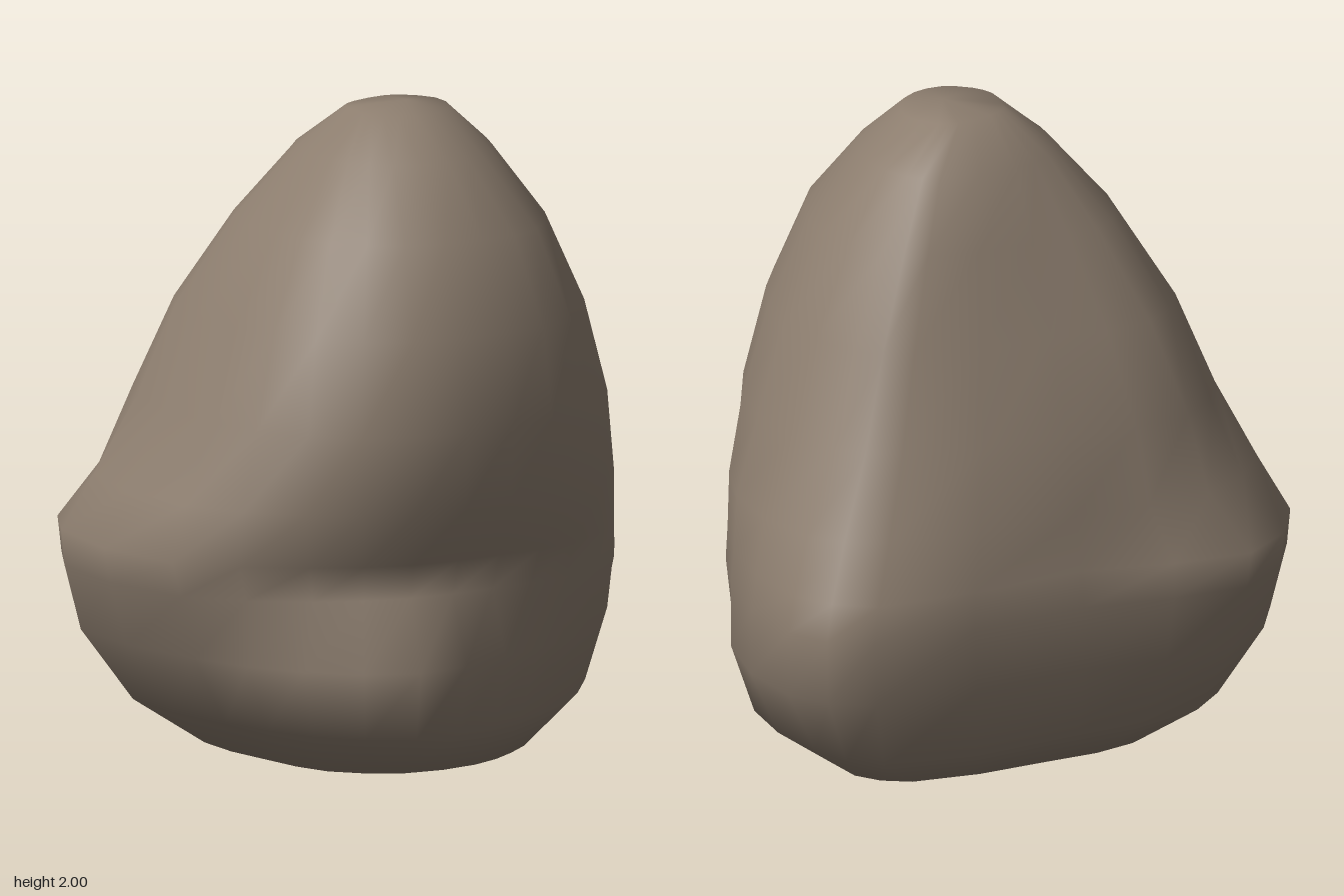
import * as THREE from 'three';

// Directions of the section points around the y axis, in degrees from +x towards +z
const ANGLES = [0, 26, 50, 78, 118, 145, 180, 225, 241, 270, 305, 335];

// Horizontal sections: height, then one radius for each direction
const SECTIONS = [
  [0.02, [0.53, 0.58, 0.56, 0.48, 0.52, 0.54, 0.48, 0.65, 0.67, 0.55, 0.48, 0.48]],
  [0.16, [0.64, 0.78, 0.74, 0.67, 0.74, 0.76, 0.66, 0.94, 0.89, 0.76, 0.62, 0.59]],
  [0.38, [0.69, 0.86, 0.85, 0.81, 0.90, 0.88, 0.71, 1.02, 1.04, 0.84, 0.69, 0.66]],
  [0.58, [0.62, 0.68, 0.75, 0.87, 0.95, 0.93, 0.71, 1.04, 1.04, 0.84, 0.73, 0.67]],
  [0.69, [0.66, 0.72, 0.78, 0.91, 0.96, 0.945, 0.69, 1.00, 1.01, 0.83, 0.73, 0.70]],
  [0.86, [0.72, 0.78, 0.83, 0.85, 0.86, 0.80, 0.66, 0.89, 0.94, 0.82, 0.73, 0.74]],
  [1.10, [0.73, 0.79, 0.81, 0.73, 0.73, 0.73, 0.61, 0.75, 0.79, 0.75, 0.71, 0.73]],
  [1.38, [0.69, 0.72, 0.71, 0.62, 0.61, 0.60, 0.50, 0.63, 0.67, 0.66, 0.64, 0.69]],
  [1.65, [0.57, 0.57, 0.53, 0.45, 0.43, 0.42, 0.37, 0.49, 0.52, 0.53, 0.52, 0.57]],
  [1.86, [0.39, 0.36, 0.32, 0.26, 0.24, 0.25, 0.27, 0.36, 0.38, 0.37, 0.36, 0.38]],
  [1.98, [0.22, 0.18, 0.14, 0.09, 0.09, 0.09, 0.10, 0.17, 0.20, 0.23, 0.23, 0.23]],
];

const SIDES = ANGLES.length * 2;

// Closed, softly rounded outline of one section
function sectionOutline([y, radii]) {
  const points = radii.map((r, i) => {
    const a = THREE.MathUtils.degToRad(ANGLES[i]);
    return new THREE.Vector3(r * Math.cos(a), y, r * Math.sin(a));
  });
  const curve = new THREE.CatmullRomCurve3(points, true);
  return Array.from({ length: SIDES }, (_, i) => curve.getPoint(i / SIDES));
}

// Skin over the sections, closed with a point at the bottom and the top
function boulderGeometry() {
  const points = SECTIONS.flatMap(sectionOutline);
  const bottom = points.push(new THREE.Vector3(0, 0, 0)) - 1;
  const top = points.push(new THREE.Vector3(0.06, 2, -0.08)) - 1;
  const last = (SECTIONS.length - 1) * SIDES;
  const index = [];
  for (let j = 0; j < SIDES; j++) {
    const k = (j + 1) % SIDES;
    for (let row = 0; row < last; row += SIDES) {
      const a = row + j, b = row + k, c = a + SIDES, d = b + SIDES;
      index.push(a, c, b, b, c, d);
    }
    index.push(bottom, j, k);
    index.push(top, last + k, last + j);
  }
  const geometry = new THREE.BufferGeometry().setFromPoints(points);
  geometry.setIndex(index);
  geometry.computeVertexNormals();
  return geometry;
}

export function createModel() {
  const stone = new THREE.MeshStandardMaterial({ color: 0x8c7d6e });
  stone.name = 'stone';

  const boulder = new THREE.Mesh(boulderGeometry(), stone);
  boulder.name = 'boulder';

  const model = new THREE.Group();
  model.name = 'rock';
  model.add(boulder);
  return model;
}
